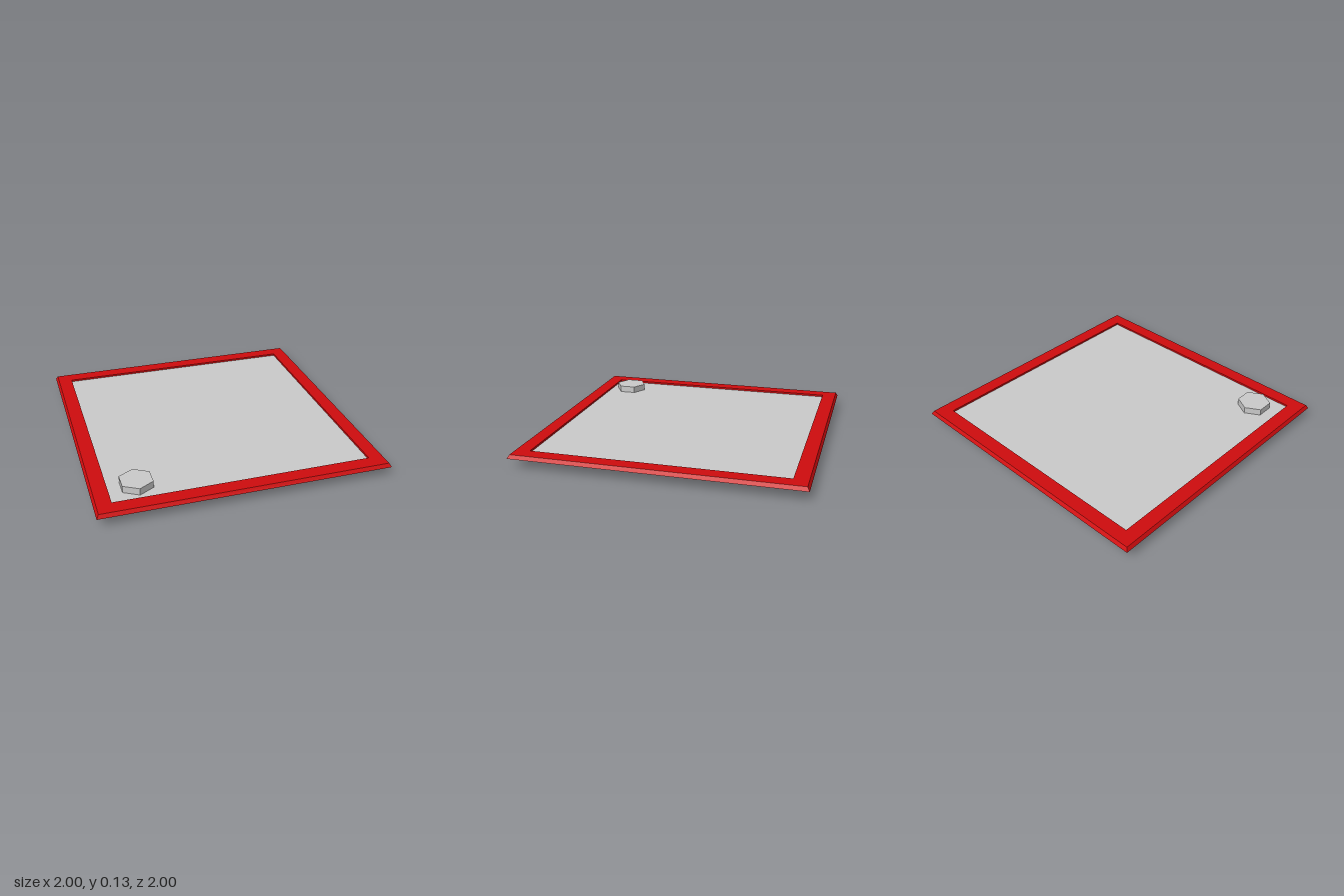
import * as THREE from 'three';

// Faceted ring or cap: a profile of [radius, height] swept around y with few sides
function faceted(name, profile, sides, start, material) {
  const points = profile.map(([r, y]) => new THREE.Vector2(r, y));
  const mesh = new THREE.Mesh(new THREE.LatheGeometry(points, sides, start), material);
  mesh.name = name;
  return mesh;
}

export function createModel() {
  const group = new THREE.Group();
  group.name = 'framedPanel';
  const red = new THREE.MeshStandardMaterial({ color: 0xd00c0e, flatShading: true });
  const grey = new THREE.MeshStandardMaterial({ color: 0xcccccc, flatShading: true, side: THREE.DoubleSide });

  // Square frame: sloped outer edge, upright inner edge (half widths to corner radii)
  const rim = [[0.885, 0.07], [1, 0.07], [0.985, 0.096], [0.885, 0.096], [0.885, 0.07]];
  const corners = rim.map(([half, y]) => [half * Math.SQRT2, y]);
  group.add(faceted('frame', corners, 4, Math.PI / 4, red));

  // Thin sheet set midway inside the frame
  const panel = new THREE.Mesh(new THREE.PlaneGeometry(1.77, 1.77).rotateX(-Math.PI / 2), grey);
  panel.name = 'panel';
  panel.position.y = 0.082;
  group.add(panel);

  // Hexagonal knob through the sheet, closed on top and open underneath
  const knob = faceted('knob', [[0.118, 0], [0.118, 0.13], [0, 0.13]], 6, 0, grey);
  knob.position.set(-0.694, 0, 0.722);
  group.add(knob);

  return group;
}
